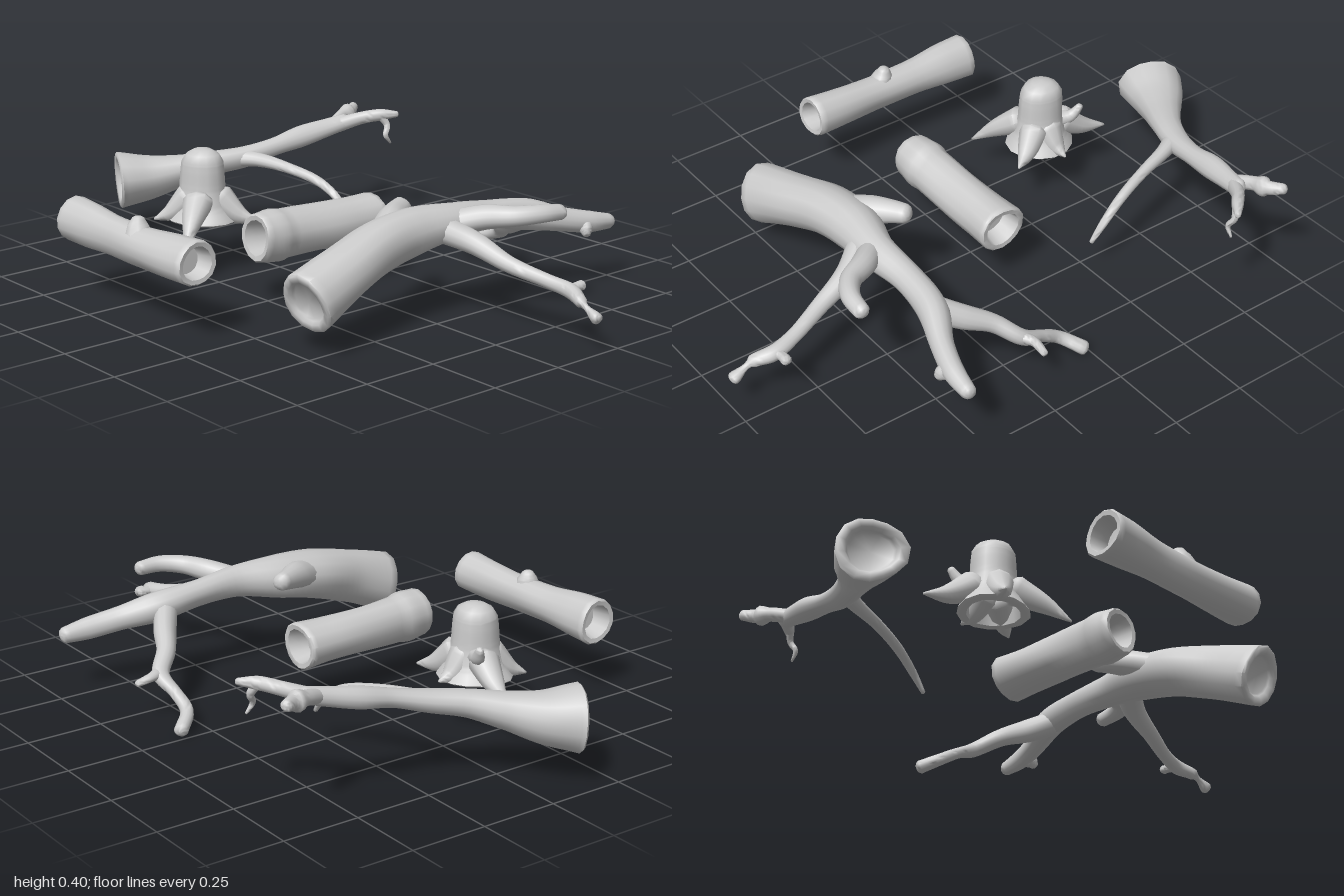
import * as THREE from 'three';
import { toCreasedNormals } from 'three/addons/utils/BufferGeometryUtils.js';

const material = new THREE.MeshStandardMaterial({ color: 0xcccccc });

// Sweeps a bumpy round section along points [x, y, z, radius].
// start / end: 0 = rounded tip, >0 = cut end hollowed to that depth.
function limb(name, pts, { start = 0, end = 0, sides = 14, bump = 0.05, seed = 1 } = {}) {
  const path = new THREE.CatmullRomCurve3(pts.map((p) => new THREE.Vector3(p[0], p[1], p[2])));
  const radii = new THREE.CatmullRomCurve3(pts.map((p) => new THREE.Vector3(p[3], 0, 0)));
  const steps = (pts.length - 1) * 6;
  const rings = [];
  for (let i = 0; i <= steps; i++) {
    const t = i / steps;
    rings.push({ c: path.getPoint(t), t: path.getTangent(t), r: Math.max(0.004, radii.getPoint(t).x) });
  }
  // extra rings closing one end, listed from the rim towards the middle
  const cap = (ring, depth, sign) => {
    const list = depth > 0
      ? [[0.93, 0.006], [0.74, 0.004], [0.66, -depth * 0.5], [0.6, -depth], [0, -depth]]
      : [[0.8, ring.r * 0.35], [0.45, ring.r * 0.55], [0, ring.r * 0.62]];
    return list.map(([s, d]) => ({ c: ring.c.clone().addScaledVector(ring.t, d * sign), t: ring.t, r: ring.r * s }));
  };
  const all = [...cap(rings[0], start, -1).reverse(), ...rings, ...cap(rings[steps], end, 1)];

  const pos = [], index = [];
  const normal = new THREE.Vector3(0, 1, 0);
  if (Math.abs(all[0].t.y) > 0.9) normal.set(1, 0, 0);
  all.forEach(({ c, t, r }, i) => {
    normal.addScaledVector(t, -normal.dot(t)).normalize();
    const side = new THREE.Vector3().crossVectors(t, normal);
    const along = c.x * 11 + c.z * 13 + c.y * 9;
    for (let j = 0; j < sides; j++) {
      const a = (j / sides) * Math.PI * 2;
      const k = r * (1 + bump * (Math.sin(2 * a + seed + along * 0.5) + 0.6 * Math.sin(3 * a - along + seed * 2)));
      const p = c.clone().addScaledVector(normal, Math.cos(a) * k).addScaledVector(side, Math.sin(a) * k);
      pos.push(p.x, p.y, p.z);
      if (i < all.length - 1) {
        const n = (j + 1) % sides, o = i * sides, u = o + sides;
        index.push(o + j, o + n, u + n, o + j, u + n, u + j);
      }
    }
  });
  const geo = new THREE.BufferGeometry();
  geo.setAttribute('position', new THREE.Float32BufferAttribute(pos, 3));
  geo.setIndex(index);
  const mesh = new THREE.Mesh(toCreasedNormals(geo, 0.95), material);
  mesh.name = name;
  return mesh;
}

function group(name, ...parts) {
  const g = new THREE.Group();
  g.name = name;
  g.add(...parts);
  return g;
}

// Large fallen tree with several boughs
function largeTree() {
  return group('largeFallenTree',
    limb('trunk', [
      [0.465, 0.165, 0.48, 0.096], [0.45, 0.22, 0.33, 0.088], [0.42, 0.265, 0.17, 0.084], [0.415, 0.285, 0.03, 0.076],
      [0.44, 0.295, -0.13, 0.054], [0.435, 0.285, -0.28, 0.044], [0.445, 0.265, -0.41, 0.048],
      [0.495, 0.235, -0.53, 0.037], [0.525, 0.215, -0.63, 0.034], [0.535, 0.205, -0.71, 0.025],
    ], { start: 0.012 }),
    limb('brokenStub', [[0.4, 0.28, 0.13, 0.05], [0.345, 0.305, 0.05, 0.046], [0.305, 0.315, -0.01, 0.036], [0.283, 0.32, -0.05, 0.03]]),
    limb('upperBough', [
      [0.44, 0.29, -0.1, 0.04], [0.52, 0.315, -0.17, 0.038], [0.6, 0.325, -0.22, 0.032],
      [0.645, 0.33, -0.29, 0.028], [0.655, 0.325, -0.36, 0.024],
    ]),
    limb('sideBough', [
      [0.44, 0.29, -0.05, 0.045], [0.54, 0.25, -0.11, 0.036], [0.66, 0.205, -0.14, 0.026], [0.78, 0.175, -0.18, 0.022],
      [0.86, 0.16, -0.195, 0.024], [0.92, 0.145, -0.175, 0.019], [0.985, 0.112, -0.172, 0.019],
    ]),
    limb('sideTwig', [[0.86, 0.16, -0.19, 0.019], [0.848, 0.162, -0.22, 0.015], [0.85, 0.165, -0.25, 0.016]]),
    limb('rearBough', [
      [0.445, 0.26, -0.39, 0.04], [0.36, 0.215, -0.445, 0.038], [0.28, 0.18, -0.49, 0.03], [0.215, 0.135, -0.55, 0.026],
      [0.14, 0.1, -0.545, 0.019], [0.075, 0.062, -0.545, 0.02], [0.02, 0.028, -0.6, 0.022],
    ]),
    limb('rearTwig', [[0.225, 0.14, -0.545, 0.021], [0.205, 0.14, -0.59, 0.015], [0.205, 0.13, -0.64, 0.011]]),
    limb('tipKnot', [[0.525, 0.215, -0.61, 0.028], [0.545, 0.2, -0.595, 0.022], [0.553, 0.19, -0.59, 0.015]]));
}

// Slimmer fallen tree with a flared base and forked tip
function slimTree() {
  return group('slimFallenTree',
    limb('trunk', [
      [-0.9, 0.2, 0.175, 0.104], [-0.855, 0.205, 0.09, 0.083], [-0.795, 0.225, 0, 0.06], [-0.73, 0.25, -0.1, 0.044],
      [-0.685, 0.265, -0.2, 0.038], [-0.655, 0.29, -0.31, 0.031], [-0.64, 0.31, -0.41, 0.036],
      [-0.615, 0.33, -0.51, 0.03], [-0.595, 0.345, -0.58, 0.026],
    ], { start: 0.015, bump: 0.08, seed: 2 }),
    limb('forkRight', [[-0.61, 0.335, -0.53, 0.022], [-0.64, 0.355, -0.6, 0.022], [-0.655, 0.36, -0.65, 0.022], [-0.68, 0.368, -0.69, 0.017]]),
    limb('forkLeft', [[-0.605, 0.335, -0.55, 0.025], [-0.555, 0.36, -0.62, 0.021], [-0.51, 0.372, -0.665, 0.02], [-0.47, 0.375, -0.71, 0.01]]),
    limb('droopingTwig', [[-0.505, 0.37, -0.665, 0.014], [-0.488, 0.335, -0.68, 0.011], [-0.478, 0.305, -0.665, 0.009], [-0.475, 0.275, -0.685, 0.004]], { sides: 8 }),
    limb('sideBranch', [
      [-0.7, 0.26, -0.17, 0.032], [-0.62, 0.262, -0.21, 0.024], [-0.5, 0.25, -0.245, 0.018],
      [-0.38, 0.22, -0.28, 0.016], [-0.3, 0.17, -0.297, 0.013], [-0.255, 0.115, -0.295, 0.007],
    ]));
}

// Stump, hollow underneath, with spreading pointed roots
function stump() {
  const cx = -0.42, cz = 0.18;
  const g = group('stump',
    limb('stumpBody', [
      [cx, 0.175, cz, 0.115], [cx, 0.22, cz, 0.088], [cx, 0.28, cz, 0.074], [cx, 0.335, cz, 0.071], [cx, 0.365, cz, 0.068],
    ], { start: 0.09 }),
    limb('brokenSpur', [[-0.45, 0.25, 0.16, 0.035], [-0.505, 0.265, 0.125, 0.022], [-0.53, 0.3, 0.11, 0.012]], { sides: 8 }));
  const tips = [[-0.645, 0.175, 0.12], [-0.42, 0.18, 0.045], [-0.26, 0.18, 0.085], [-0.275, 0.135, 0.36], [-0.505, 0.175, 0.315]];
  tips.forEach(([x, y, z], i) => {
    const at = (f) => [cx + (x - cx) * f, cz + (z - cz) * f];
    const [a, b] = [at(0.3), at(0.65)];
    g.add(limb('root' + (i + 1), [
      [a[0], 0.24, a[1], 0.05], [b[0], 0.195, b[1], 0.031], [x, y, z, 0.004],
    ], { sides: 10, seed: i }));
  });
  return g;
}

// Cut log lying along x, with a knot on top
function longLog() {
  return group('longLog',
    limb('log', [
      [-0.45, 0.25, 0.652, 0.072], [-0.36, 0.248, 0.652, 0.068], [-0.22, 0.244, 0.65, 0.058], [-0.08, 0.242, 0.652, 0.059],
      [0.06, 0.245, 0.65, 0.066], [0.17, 0.25, 0.648, 0.07],
    ], { start: 0.06, end: 0.05, seed: 4 }),
    limb('knot', [[-0.11, 0.27, 0.655, 0.042], [-0.118, 0.3, 0.65, 0.033], [-0.12, 0.318, 0.648, 0.022]], { sides: 10 }));
}

// Short cut log lying along z
function shortLog() {
  return group('shortLog',
    limb('log', [
      [0.005, 0.21, -0.17, 0.079], [0.005, 0.212, -0.08, 0.074], [0.008, 0.215, 0.07, 0.072],
      [0.01, 0.22, 0.2, 0.074], [0.01, 0.225, 0.3, 0.074],
    ], { start: 0.06, end: 0.07, seed: 5 }));
}

export function createModel() {
  return group('fallenWoodSet', largeTree(), slimTree(), stump(), longLog(), shortLog());
}
